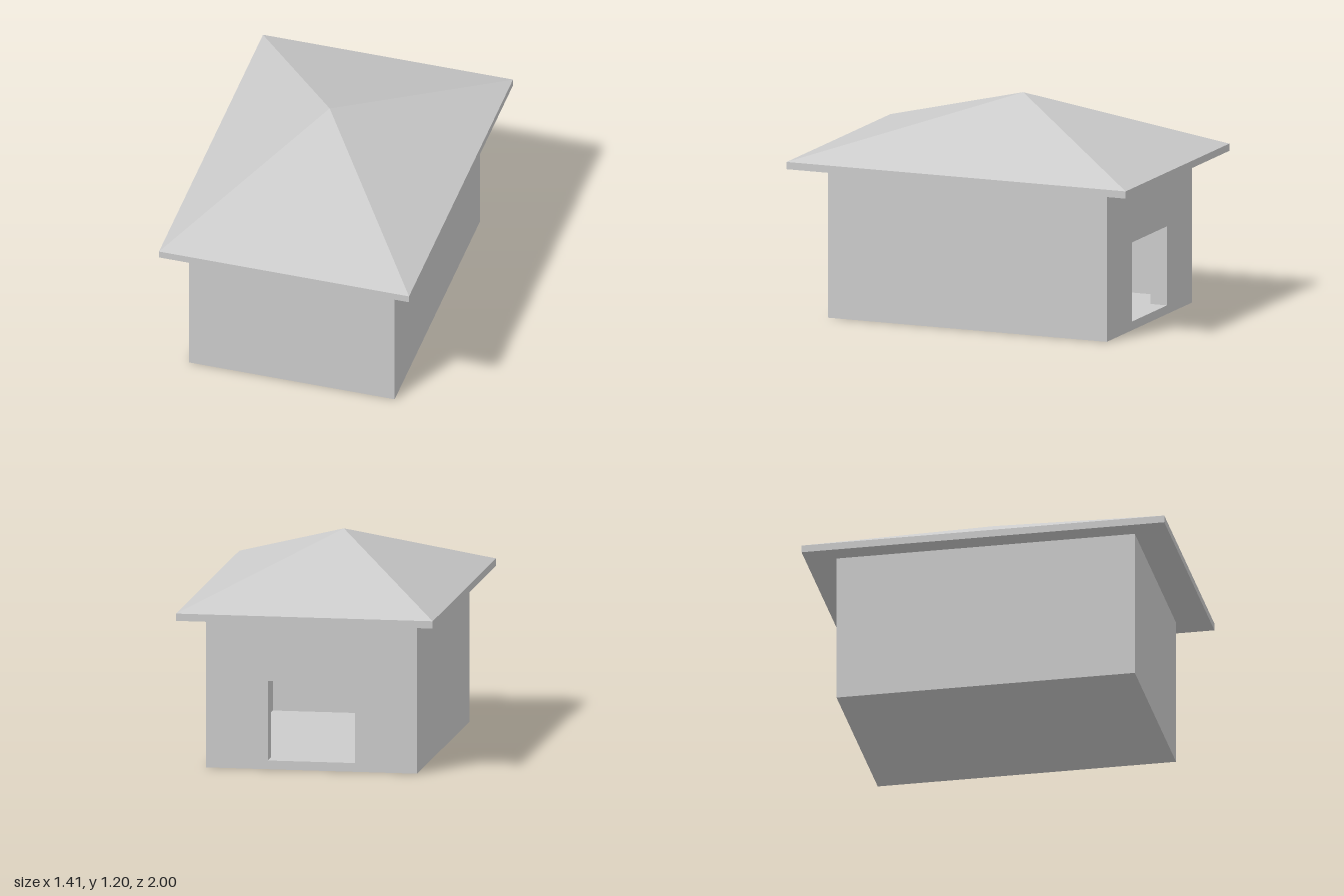
import * as THREE from 'three';

const X0 = -0.59, X1 = 0.57, Z0 = -0.83, Z1 = 0.815; // outer wall faces
const T = 0.098;                                     // wall thickness
const FLOOR = 0.048, EAVE = 0.83, SLAB_TOP = 0.87;

export function createModel() {
  const group = new THREE.Group();
  const material = new THREE.MeshStandardMaterial({ color: 0xcccccc, flatShading: true });

  const add = (name, geometry) => {
    const mesh = new THREE.Mesh(geometry, material);
    mesh.name = name;
    group.add(mesh);
    return mesh;
  };
  // box given by its lower and upper corner
  const block = (name, x0, y0, z0, x1, y1, z1) =>
    add(name, new THREE.BoxGeometry(x1 - x0, y1 - y0, z1 - z0)
      .translate((x0 + x1) / 2, (y0 + y1) / 2, (z0 + z1) / 2));

  // floor and the three closed walls
  block('floor', X0, 0, Z0, X1, FLOOR, Z1);
  block('frontWall', X0, FLOOR, Z1 - T, X1, EAVE, Z1);
  block('rightWall', X0, FLOOR, Z0 + T, X0 + T, EAVE, Z1 - T);
  block('leftWall', X1 - T, FLOOR, Z0 + T, X1, EAVE, Z1 - T);

  // back wall, an arch-like outline around the doorway
  const outline = [
    [X0, FLOOR], [-0.25, FLOOR], [-0.25, 0.485], [0.23, 0.485],
    [0.23, FLOOR], [X1, FLOOR], [X1, EAVE], [X0, EAVE],
  ].map(([x, y]) => new THREE.Vector2(x, y));
  add('backWall', new THREE.ExtrudeGeometry(new THREE.Shape(outline), { depth: T, bevelEnabled: false })
    .translate(0, 0, Z0));

  // overhanging eave slab
  const hx = 0.705, hz = 1;
  block('eaveSlab', -hx, EAVE, -hz, hx, SLAB_TOP, hz);

  // hipped roof with its peak slightly off centre
  const peak = [-0.055, 1.2, -0.066];
  const corners = [[-hx, hz], [hx, hz], [hx, -hz], [-hx, -hz]].map(([x, z]) => [x, SLAB_TOP, z]);
  const points = corners.flatMap((c, i) => [...c, ...corners[(i + 1) % 4], ...peak]);
  const roof = new THREE.BufferGeometry();
  roof.setAttribute('position', new THREE.Float32BufferAttribute(points, 3));
  roof.computeVertexNormals();
  add('roof', roof);

  return group;
}
